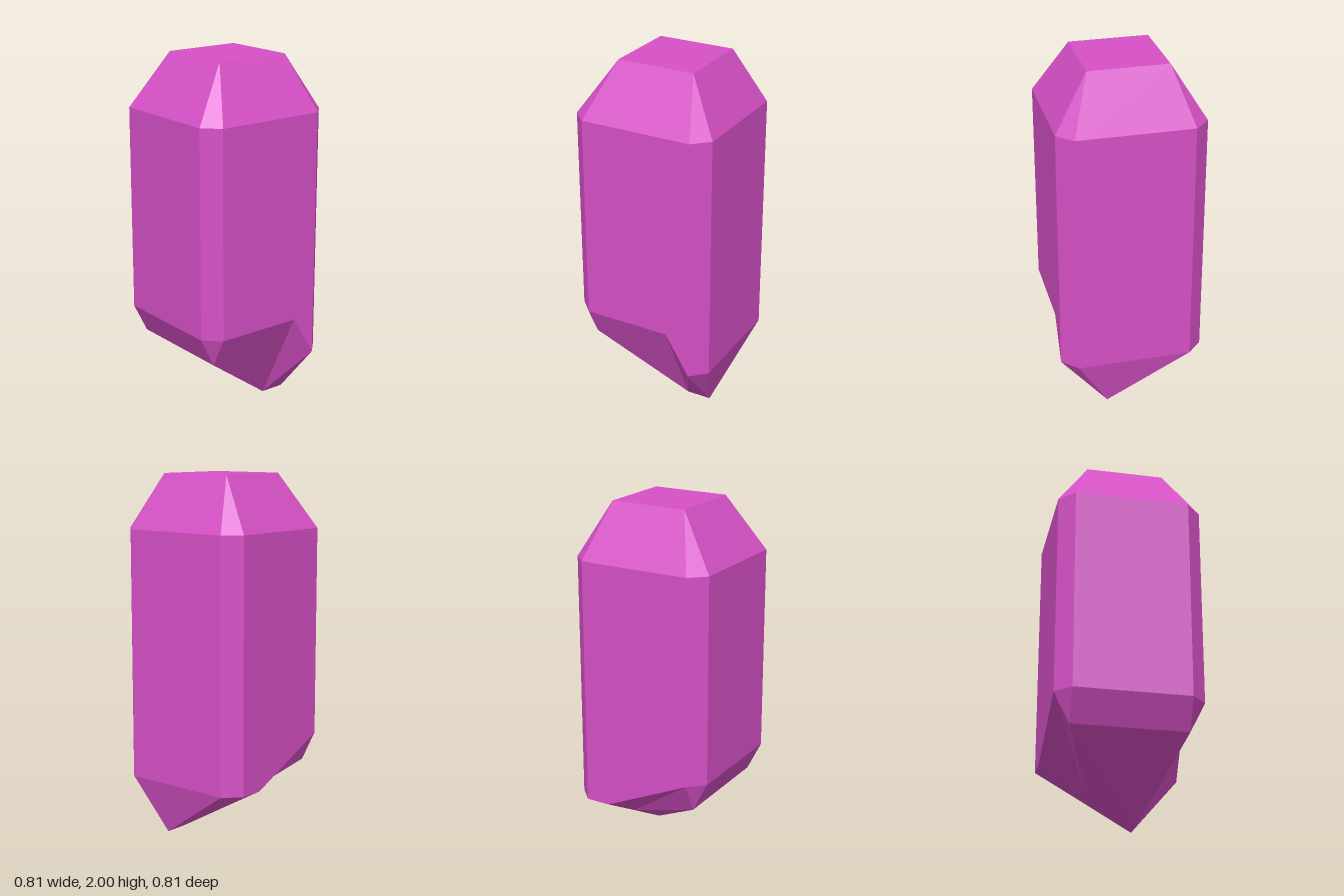
import * as THREE from 'three';

const W = 0.405, C = 0.32;          // half width, start of the corner bevel
const SHOULDER = 1.7, FRONT = 0.54, BACK = 0.31;

// Flat facets from polygons, each turned to face away from the middle
function facets(name, polygons, material) {
  const pos = [];
  const mid = new THREE.Vector3(0, 1, 0);
  for (const poly of polygons) {
    const p = poly.map(v => new THREE.Vector3(...v));
    for (let i = 1; i < p.length - 1; i++) {
      const tri = new THREE.Triangle(p[0], p[i], p[i + 1]);
      const n = tri.getNormal(new THREE.Vector3());
      const out = tri.getMidpoint(new THREE.Vector3()).sub(mid);
      const order = n.dot(out) > 0 ? [tri.a, tri.b, tri.c] : [tri.a, tri.c, tri.b];
      order.forEach(v => pos.push(v.x, v.y, v.z));
    }
  }
  const g = new THREE.BufferGeometry();
  g.setAttribute('position', new THREE.Float32BufferAttribute(pos, 3));
  g.computeVertexNormals();
  const mesh = new THREE.Mesh(g, material);
  mesh.name = name;
  return mesh;
}

export function createModel() {
  const magenta = new THREE.MeshStandardMaterial({ color: 0xd650c6, flatShading: true });
  magenta.name = 'magenta crystal';
  const model = new THREE.Group();
  model.name = 'crystal';

  // Flat cap and its sloping sides
  const top = (sx, sz) => [sx * 0.22, 2, sz > 0 ? 0.2 : -0.24];
  const crown = [[top(1, 1), top(1, -1), top(-1, -1), top(-1, 1)]];
  // Eight-sided shaft
  const shaft = [];
  for (const s of [1, -1]) {
    const low = s > 0 ? FRONT : BACK;
    crown.push(
      [top(-1, s), top(1, s), [C, SHOULDER, s * W], [-C, SHOULDER, s * W]],
      [top(s, -1), top(s, 1), [s * W, SHOULDER, C], [s * W, SHOULDER, -C]]);
    shaft.push([[-C, SHOULDER, s * W], [C, SHOULDER, s * W], [C, low, s * W], [-C, low, s * W]]);
    for (const x of [1, -1]) {
      crown.push([top(x, s), [x * C, SHOULDER, s * W], [x * W, SHOULDER, s * C]]);
      shaft.push([[x * C, SHOULDER, s * W], [x * W, SHOULDER, s * C],
        [x * W, low, s * C], [x * C, low, s * W]]);
    }
    // Side face with its stepped lower edge
    shaft.push([[s * W, SHOULDER, C], [s * W, SHOULDER, -C], [s * W, BACK, -C],
      [s * W, low, -0.18], [s * W, FRONT, C]]);
  }

  // Broken, slanted base
  const tipF = [0.14, 0, -0.18], tipB = [0.14, 0, -C];
  const ridgeF = [-0.14, 0.16, -0.18], ridgeB = [-0.14, 0.16, -C];
  const inL = [C, 0.37, C], inR = [-C, 0.37, C];
  const base = [
    [[-C, FRONT, W], [C, FRONT, W], inL, inR],
    [[C, FRONT, W], [W, FRONT, C], inL],
    [[-C, FRONT, W], [-W, FRONT, C], inR],
    [inR, inL, tipF, ridgeF],
    [[W, FRONT, C], [W, FRONT, -0.18], tipF, inL],
    [[W, BACK, -C], [W, FRONT, -0.18], tipF, tipB],
    [[-W, FRONT, C], [-W, BACK, -0.18], ridgeF, inR],
    [[-W, BACK, -0.18], [-W, BACK, -C], ridgeB, ridgeF],
    [ridgeF, ridgeB, tipB, tipF],
    [[-C, BACK, -W], [C, BACK, -W], tipB, ridgeB],
    [[C, BACK, -W], [W, BACK, -C], tipB],
    [[-C, BACK, -W], [-W, BACK, -C], ridgeB],
  ];

  model.add(facets('crown', crown, magenta), facets('shaft', shaft, magenta),
    facets('base', base, magenta));
  return model;
}
